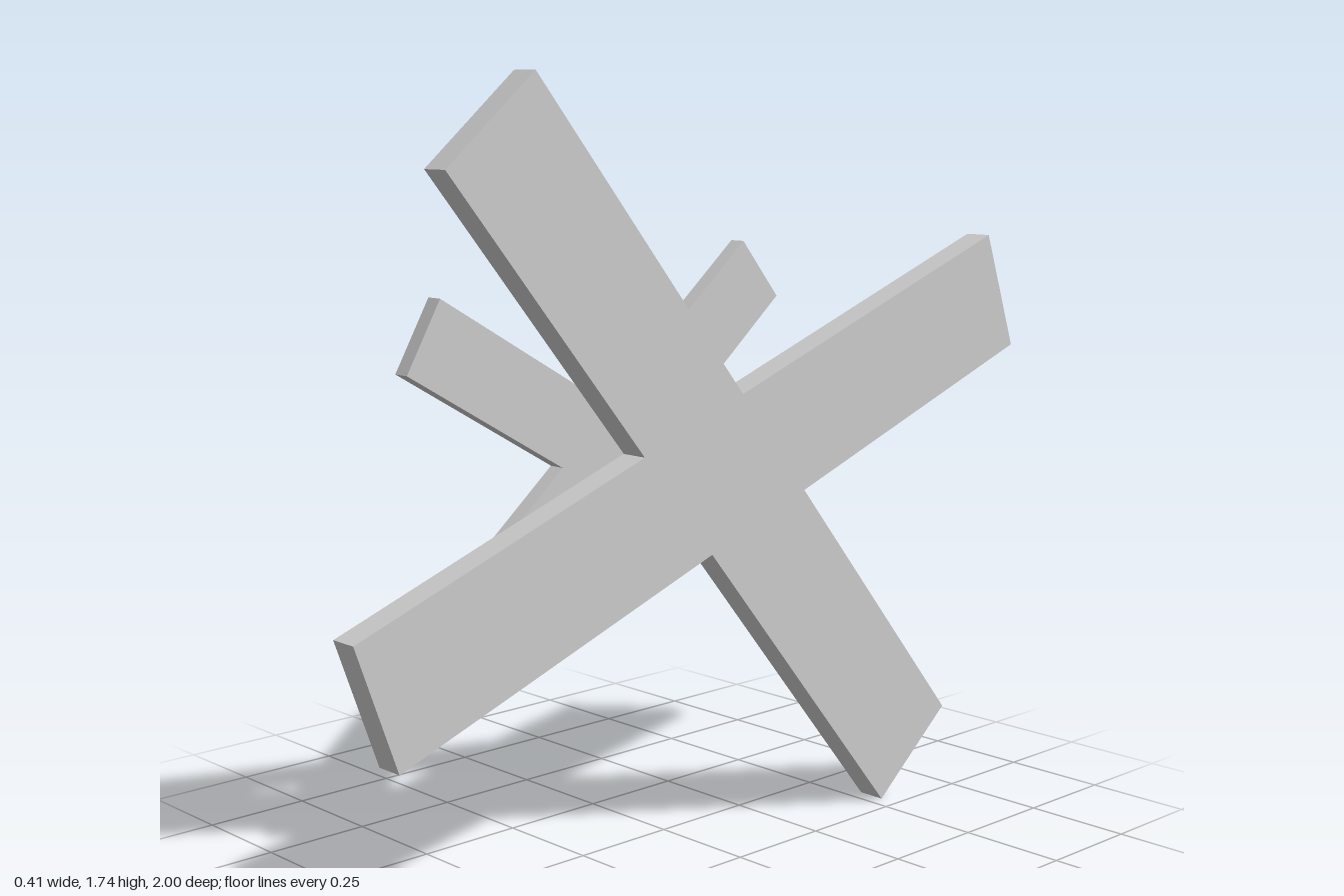
import * as THREE from 'three';

const deg = THREE.MathUtils.degToRad;
const HALF_LENGTH = 1.01, HALF_WIDTH = 0.147, THICKNESS = 0.066;

// Outline of two bars crossing at 110 degrees, joined into one plate
function crossShape() {
  const arms = [0, 110, 180, 290].map((a) => new THREE.Vector2(Math.cos(deg(a)), Math.sin(deg(a))));
  const points = [];
  arms.forEach((arm, i) => {
    const next = arms[(i + 1) % arms.length];
    const side = new THREE.Vector2(-arm.y, arm.x).multiplyScalar(HALF_WIDTH);
    const tip = arm.clone().multiplyScalar(HALF_LENGTH);
    // two tip corners, then the inner corner towards the next arm
    points.push(tip.clone().sub(side), tip.clone().add(side));
    points.push(arm.clone().add(next).multiplyScalar(HALF_WIDTH / arm.cross(next)));
  });
  return new THREE.Shape(points);
}

export function createModel() {
  const group = new THREE.Group();
  group.name = 'crossPair';
  const material = new THREE.MeshStandardMaterial({ color: 0xcccccc, flatShading: true });
  const geometry = new THREE.ExtrudeGeometry(crossShape(), { depth: THICKNESS, bevelEnabled: false });
  geometry.translate(0, 0, -THICKNESS / 2);

  // Upright plate facing sideways, tilted in its own plane
  const addCross = (name, x, tilt, scale) => {
    const mesh = new THREE.Mesh(geometry, material);
    mesh.name = name;
    mesh.position.set(x, 0.868, 0);
    mesh.rotation.set(0, Math.PI / 2, deg(tilt));
    mesh.scale.setScalar(scale);
    group.add(mesh);
  };
  addCross('largeCross', 0.171, 20, 1);
  addCross('smallCross', -0.187, 40, 0.621);

  return group;
}
